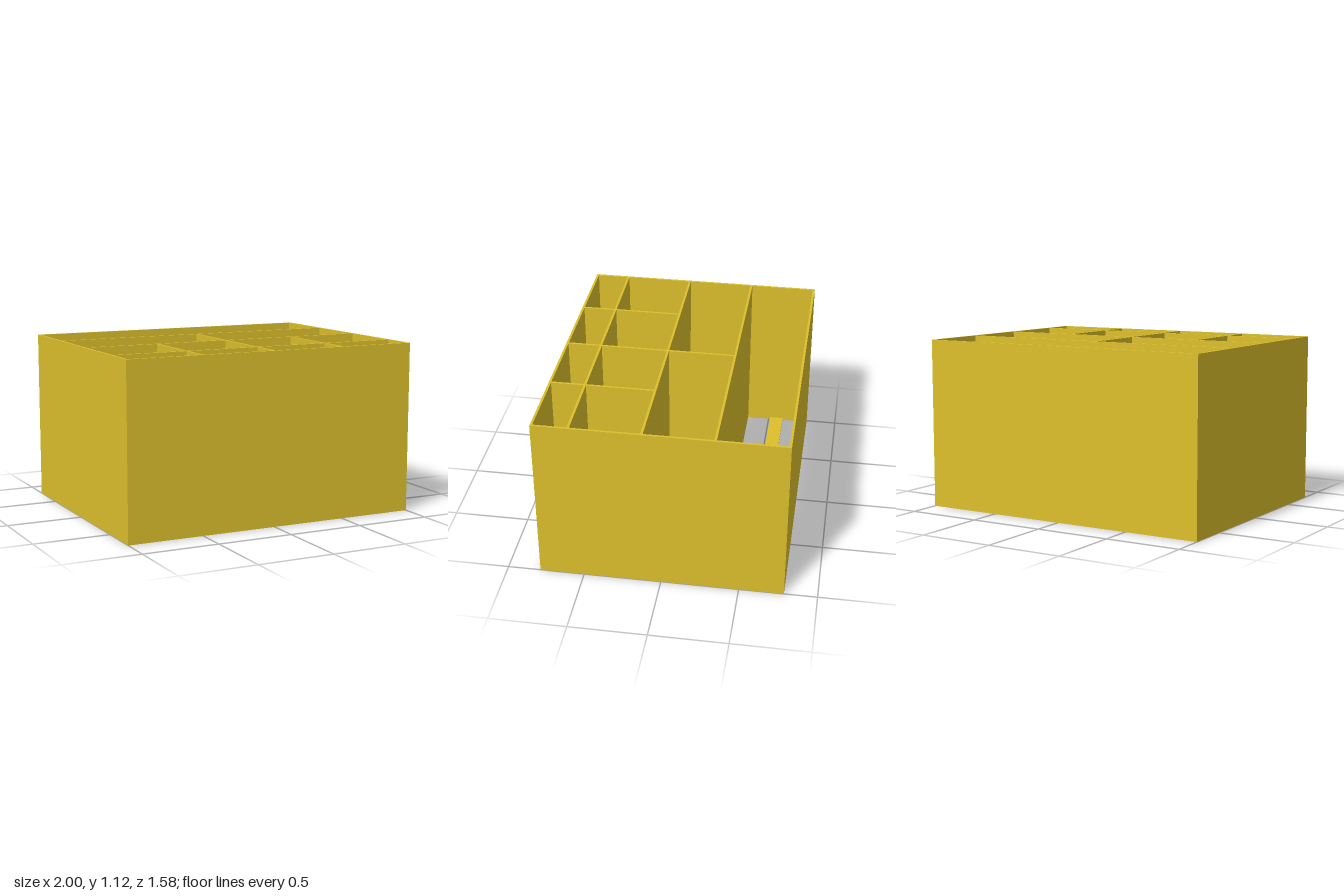
import * as THREE from 'three';

const W = 2, D = 1.575, H = 1.12, T = 0.015;
const material = new THREE.MeshStandardMaterial({ color: 0xddc02d });

// Rows from back to front: inner z range, number of compartments, floor slat width
const rows = [
  { z0: -D / 2 + T, z1: -0.344, cells: 1, slat: 0.095 },
  { z0: -0.329, z1: 0.1, cells: 2, slat: 0.095 },
  { z0: 0.115, z1: 0.548, cells: 4, slat: 0.095 },
  { z0: 0.563, z1: D / 2 - T, cells: 4, slat: 0.047 },
];

// Rectangle in plan; plan y is -z
function rectangle(target, x0, x1, z0, z1) {
  target.moveTo(x0, -z1);
  target.lineTo(x1, -z1);
  target.lineTo(x1, -z0);
  target.lineTo(x0, -z0);
  target.closePath();
  return target;
}

export function createModel() {
  const group = new THREE.Group();
  group.name = 'dividedOrganizer';

  // Outer walls and dividers: one block pierced by the compartments
  const plan = rectangle(new THREE.Shape(), -W / 2, W / 2, -D / 2, D / 2);
  for (const { z0, z1, cells } of rows) {
    const pitch = (W - T) / cells;
    for (let i = 0; i < cells; i++) {
      const x0 = -W / 2 + T + i * pitch;
      plan.holes.push(rectangle(new THREE.Path(), x0, x0 + pitch - T, z0, z1));
    }
  }
  const walls = new THREE.Mesh(
    new THREE.ExtrudeGeometry(plan, { depth: H, bevelEnabled: false }).rotateX(-Math.PI / 2),
    material
  );
  walls.name = 'wallsAndDividers';
  group.add(walls);

  // Floor slats along the middle of each row
  for (const { z0, z1, slat } of rows) {
    const mesh = new THREE.Mesh(new THREE.BoxGeometry(W - 2 * T, T, slat), material);
    mesh.position.set(0, T / 2, (z0 + z1) / 2);
    mesh.name = 'floorSlat';
    group.add(mesh);
  }
  return group;
}
